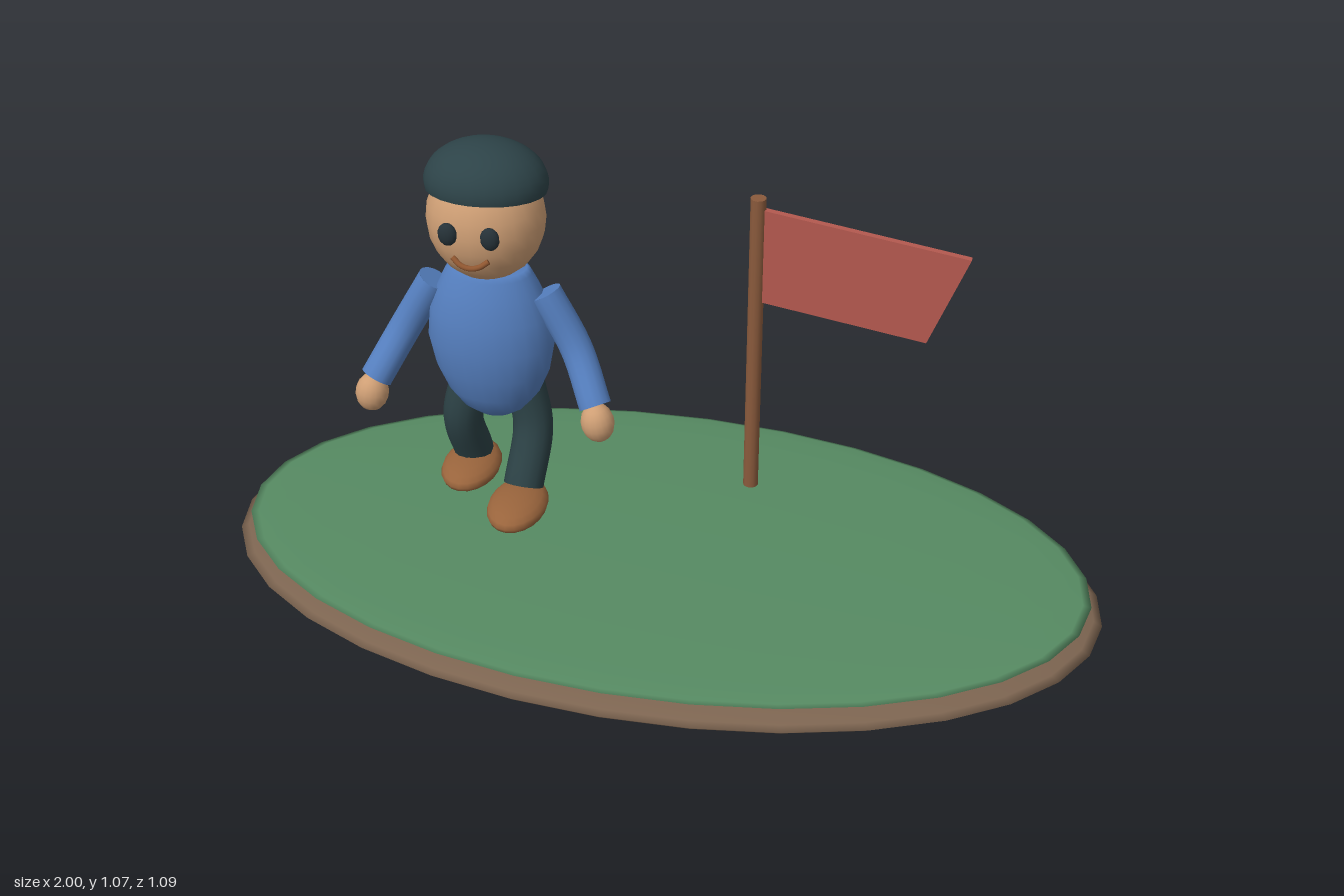
import * as THREE from 'three';

const mat = (color) => new THREE.MeshStandardMaterial({ color, side: THREE.DoubleSide });
const M = {
  soil: mat(0x7c6450), grass: mat(0x568a62), wood: mat(0x8a5a3c), flag: mat(0xb65a50),
  skin: mat(0xcf9f75), shirt: mat(0x557fbf), trousers: mat(0x2b4044), cap: mat(0x2d4348),
  shoe: mat(0x99643c), eye: mat(0x263238), mouth: mat(0x8f5630),
};

function add(parent, name, geometry, material, pos = [0, 0, 0]) {
  const mesh = new THREE.Mesh(geometry, material);
  mesh.name = name;
  mesh.position.set(...pos);
  parent.add(mesh);
  return mesh;
}

function ellipsoid(parent, name, material, pos, radii, seg = 24, thetaLength = Math.PI) {
  const geo = new THREE.SphereGeometry(1, seg, Math.round(seg / 2), 0, Math.PI * 2, 0, thetaLength);
  geo.scale(...radii);
  return add(parent, name, geo, material, pos);
}

// Bent limb: a tube through a few points with flat end caps
function limb(parent, name, material, points, radius) {
  const group = new THREE.Group();
  group.name = name;
  parent.add(group);
  const curve = new THREE.CatmullRomCurve3(points.map((p) => new THREE.Vector3(...p)));
  add(group, name + 'Tube', new THREE.TubeGeometry(curve, 16, radius, 14), material);
  for (const t of [0, 1]) {
    const end = add(group, name + 'End', new THREE.CircleGeometry(radius, 14), material, curve.getPoint(t).toArray());
    const dir = curve.getTangent(t).multiplyScalar(t ? 1 : -1);
    end.quaternion.setFromUnitVectors(new THREE.Vector3(0, 0, 1), dir);
  }
}

function buildFigure() {
  const g = new THREE.Group();
  g.name = 'figure';
  g.position.x = -0.377;

  // Torso: pear-shaped lathe, flattened front to back
  const profile = [[0, 0.408], [0.04, 0.416], [0.075, 0.44], [0.104, 0.48], [0.129, 0.54], [0.142, 0.61],
    [0.135, 0.68], [0.115, 0.735], [0.095, 0.775], [0.085, 0.787], [0, 0.79]];
  const torso = new THREE.LatheGeometry(profile.map((p) => new THREE.Vector2(...p)), 24);
  torso.scale(1, 1, 0.7);
  add(g, 'torso', torso, M.shirt);

  // Head, cap and face
  ellipsoid(g, 'head', M.skin, [0, 0.905, 0], [0.128, 0.14, 0.12]);
  const cap = ellipsoid(g, 'cap', M.cap, [0, 0.983, -0.012], [0.133, 0.091, 0.118], 24, Math.PI * 0.56);
  cap.rotation.x = -0.13;
  for (const s of [-1, 1]) {
    ellipsoid(g, 'eye', M.eye, [s * 0.046, 0.917, 0.118], [0.021, 0.026, 0.013], 14);
  }
  limb(g, 'mouth', M.mouth, [[-0.039, 0.86, 0.112], [-0.02, 0.848, 0.12], [0, 0.844, 0.122],
    [0.02, 0.848, 0.12], [0.039, 0.86, 0.112]], 0.006);

  // Arms and hands
  for (const s of [-1, 1]) {
    limb(g, 'arm', M.shirt, [[s * 0.125, 0.735, 0], [s * 0.195, 0.61, 0.012], [s * 0.25, 0.505, 0.067]], 0.036);
    const hand = ellipsoid(g, 'hand', M.skin, [s * 0.258, 0.473, 0.08], [0.037, 0.046, 0.036], 18);
    hand.rotation.z = s * 0.15;
  }

  // Legs and shoes in mid stride, left leg forward
  const strides = [
    { s: 1, knee: -0.01, ankle: 0.055, shoe: 0.097 },
    { s: -1, knee: -0.015, ankle: -0.056, shoe: -0.028 },
  ];
  for (const { s, knee, ankle, shoe } of strides) {
    limb(g, 'leg', M.trousers, [[s * 0.06, 0.49, -0.027], [s * 0.083, 0.38, knee], [s * 0.076, 0.26, ankle]], 0.045);
    ellipsoid(g, 'shoe', M.shoe, [s * 0.074, 0.233, shoe], [0.066, 0.033, 0.1], 20);
  }
  return g;
}

function buildFlag() {
  const g = new THREE.Group();
  g.name = 'flagAndPole';
  add(g, 'pole', new THREE.CylinderGeometry(0.0165, 0.0165, 0.71, 12), M.wood, [0.206, 0.665, 0]);
  // Slanted cloth
  const corners = [[0.21, 0.781], [0.567, 0.731], [0.645, 0.937], [0.21, 0.997]];
  const shape = new THREE.Shape(corners.map((p) => new THREE.Vector2(...p)));
  add(g, 'flagCloth', new THREE.ExtrudeGeometry(shape, { depth: 0.014, bevelEnabled: false }), M.flag, [0, 0, -0.007]);
  return g;
}

export function createModel() {
  const model = new THREE.Group();
  model.name = 'walkerOnGreen';
  // Oval ground: soil with a thin grass layer on top
  ellipsoid(model, 'soilBase', M.soil, [0, 0.058, 0], [1, 0.058, 0.545], 32);
  ellipsoid(model, 'grassTop', M.grass, [0, 0.105, 0], [0.972, 0.017, 0.525], 32);
  model.add(buildFigure(), buildFlag());
  return model;
}
